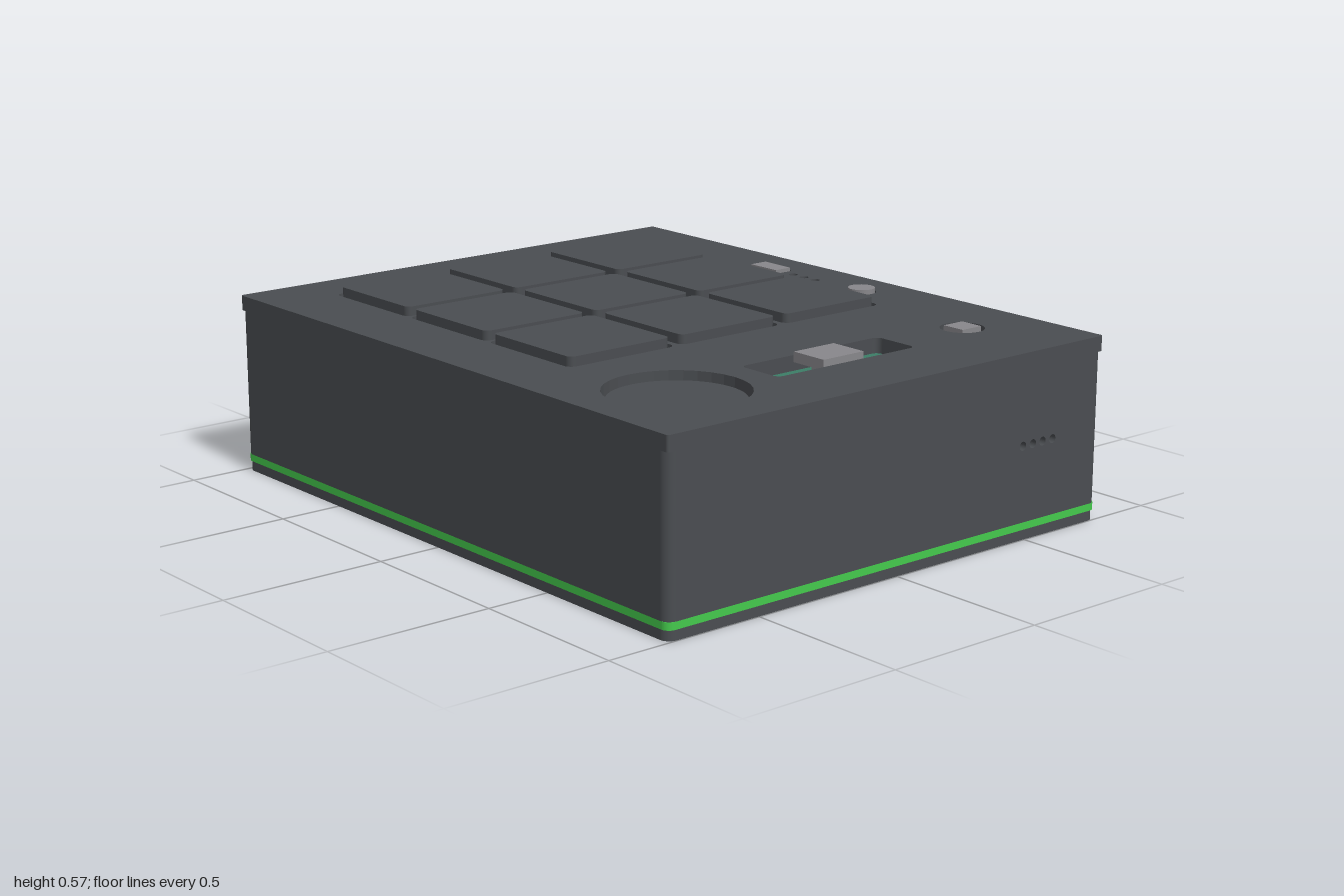
import * as THREE from 'three';

const paint = (name, color) => Object.assign(new THREE.MeshStandardMaterial({ color }), { name });

// Rounded rectangle outline, centred on (cx, cy)
function roundRect(P, cx, cy, w, h, r) {
  const p = new P(), a = w / 2 - r, b = h / 2 - r;
  p.absarc(cx + a, cy + b, r, 0, Math.PI / 2);
  p.absarc(cx - a, cy + b, r, Math.PI / 2, Math.PI);
  p.absarc(cx - a, cy - b, r, Math.PI, Math.PI * 1.5);
  p.absarc(cx + a, cy - b, r, Math.PI * 1.5, Math.PI * 2);
  p.closePath();
  return p;
}
function circle(P, cx, cy, r) {
  const p = new P();
  p.absarc(cx, cy, r, 0, Math.PI * 2);
  return p;
}
const extrude = (shape, depth) =>
  new THREE.ExtrudeGeometry(shape, { depth, bevelEnabled: false, curveSegments: 16 });

export function createModel() {
  const model = new THREE.Group();
  model.name = 'padController';
  const shell = paint('charcoal', 0x4a4d51);
  const board = paint('boardGreen', 0x3c7d67);
  const glow = paint('stripGreen', 0x44c94c);
  const metal = paint('lightGrey', 0x88878b);

  const add = (name, geo, mat, x = 0, y = 0, z = 0) => {
    const m = new THREE.Mesh(geo, mat);
    m.name = name;
    m.position.set(x, y, z);
    model.add(m);
    return m;
  };
  const box = (name, mat, w, h, d, x, y, z) => add(name, new THREE.BoxGeometry(w, h, d), mat, x, y, z);
  // Horizontal slab from a plan outline (outline y is -z)
  const slab = (name, shape, y0, y1, mat) =>
    add(name, extrude(shape, y1 - y0).rotateX(-Math.PI / 2), mat, 0, y0, 0);

  const ZC = 0.005, W = 2, D = 1.61, T = 0.03;
  const lidY = 0.5, topY = 0.545, boardY = 0.47, wallY = 0.052;
  const front = ZC + D / 2, back = ZC - D / 2;

  // Base plate and glowing strip
  slab('basePlate', roundRect(THREE.Shape, 0, -ZC, W - 0.004, D - 0.004, 0.03), 0, 0.03, shell);
  slab('lightStrip', roundRect(THREE.Shape, 0, -ZC, W, D, 0.025), 0.03, wallY, glow);

  // Top plate with openings for every control
  const lid = roundRect(THREE.Shape, 0, -ZC, W, D, 0.008);
  const padCentres = [];
  for (const x of [-0.637, -0.252, 0.133])
    for (const z of [-0.392, 0.003, 0.398]) padCentres.push([x, z]);
  for (const [x, z] of padCentres) lid.holes.push(roundRect(THREE.Path, x, -z, 0.375, 0.375, 0.025));
  lid.holes.push(
    roundRect(THREE.Path, 0.68, 0.037, 0.15, 0.515, 0.02),
    circle(THREE.Path, 0.68, -0.51, 0.202),
    circle(THREE.Path, 0.68, 0.56, 0.065),
    circle(THREE.Path, 0.16, 0.66, 0.045),
    roundRect(THREE.Path, -0.25, 0.66, 0.125, 0.07, 0.008));
  for (const x of [-0.145, -0.095, -0.045]) lid.holes.push(circle(THREE.Path, x, 0.66, 0.014));
  slab('topPlate', lid, lidY, topY, shell);

  // Circuit boards
  box('upperBoard', board, W - 0.08, 0.02, D - 0.08, 0, boardY - 0.01, ZC);
  box('lowerBoard', board, W - 0.08, 0.015, D - 0.08, 0, 0.267, ZC);

  // Pads
  for (const [x, z] of padCentres)
    slab('pad', roundRect(THREE.Shape, x, -z, 0.354, 0.354, 0.02), boardY, 0.57, shell);

  // Jog disc
  add('jogDisc', new THREE.CylinderGeometry(0.19, 0.19, 0.05, 64), shell, 0.68, 0.495, 0.51);

  // Fader, knob stem, push button and display socket
  box('faderStem', metal, 0.05, 0.07, 0.08, 0.68, 0.505, -0.035);
  box('faderCap', metal, 0.12, 0.03, 0.15, 0.68, 0.545, -0.035);
  box('knobStem', metal, 0.075, 0.08, 0.075, 0.68, 0.511, -0.56);
  add('pushButton', new THREE.CylinderGeometry(0.041, 0.041, 0.088, 32), metal, 0.16, 0.514, -0.66);
  box('topSocket', metal, 0.115, 0.085, 0.06, -0.25, 0.5125, -0.66);

  // Front and back walls
  const wallH = lidY - wallY, midY = (lidY + wallY) / 2;
  const rect = w => roundRect(THREE.Shape, 0, midY, w, wallH, 0.0001);
  add('frontWall', extrude(rect(W - 2 * T), T), shell, 0, 0, front - T);
  const backShape = rect(W - 2 * T);
  backShape.holes.push(roundRect(THREE.Path, 0, 0.275, 0.166, 0.066, 0.006));
  add('backWall', extrude(backShape, T), shell, 0, 0, back);

  // Side walls with vent holes; the right-hand one also has two ports
  for (const s of [1, -1]) {
    const side = rect(D - 2 * T);
    const hole = z => -(z - ZC);
    for (const z of [-0.482, -0.522, -0.562, -0.602])
      side.holes.push(circle(THREE.Path, hole(z), 0.277, 0.013));
    if (s < 0) side.holes.push(
      roundRect(THREE.Path, hole(-0.26), 0.265, 0.26, 0.065, 0.005),
      circle(THREE.Path, hole(0.38), 0.27, 0.063));
    add('sideWall', extrude(side, T).rotateY(Math.PI / 2), shell, s > 0 ? W / 2 - T : -W / 2, 0, ZC);
    // Rounded wall corners
    for (const z of [front - T, back + T])
      add('wallCorner', new THREE.CylinderGeometry(T, T, wallH, 32), shell, s * (W / 2 - T), midY, z);
  }

  // Card slot and round jack
  box('cardSlot', metal, 0.1, 0.055, 0.25, -0.94, 0.265, -0.26);
  add('jack', new THREE.CylinderGeometry(0.06, 0.06, 0.1, 32).rotateZ(Math.PI / 2), metal, -0.945, 0.27, 0.38);

  // Rear port: a thin frame with a recessed face
  const port = roundRect(THREE.Shape, 0, 0.275, 0.164, 0.064, 0.006);
  port.holes.push(roundRect(THREE.Path, 0, 0.275, 0.146, 0.046, 0.004));
  add('rearPortFrame', extrude(port, 0.1), metal, 0, 0, -0.81);
  box('rearPortFace', metal, 0.15, 0.05, 0.05, 0, 0.275, -0.755);

  return model;
}
